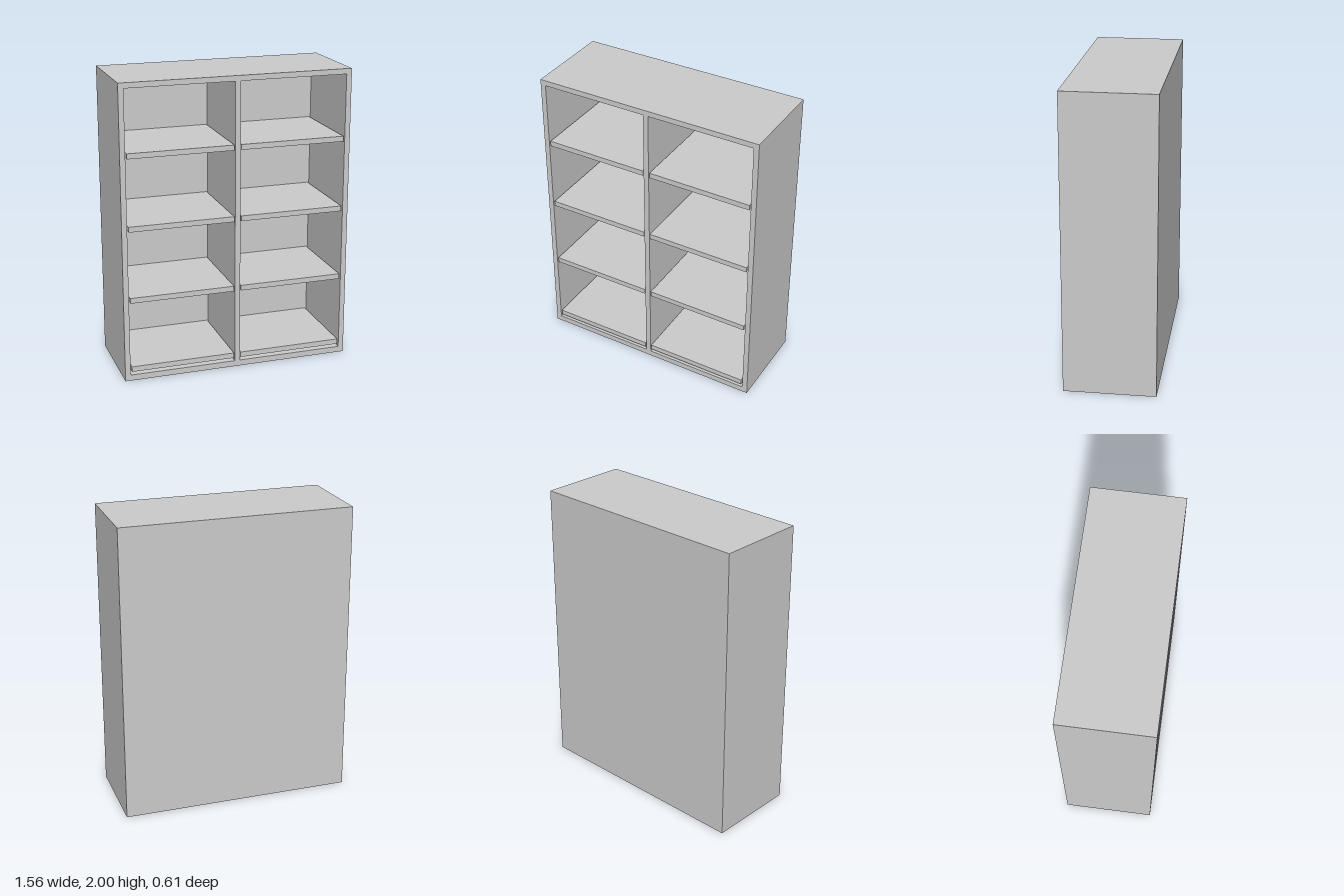
import * as THREE from 'three';

const material = new THREE.MeshStandardMaterial({ color: 0xcccccc });

// Outer size, board thickness and back panel thickness
const W = 1.56, H = 2, D = 0.61, T = 0.036, BACK = 0.006;

function rect(Type, x0, y0, x1, y1) {
  return new Type().moveTo(x0, y0).lineTo(x1, y0).lineTo(x1, y1).lineTo(x0, y1).closePath();
}

function addMesh(parent, name, geometry, x, y, z) {
  const mesh = new THREE.Mesh(geometry, material);
  mesh.name = name;
  mesh.position.set(x, y, z);
  parent.add(mesh);
}

export function createModel() {
  const bookcase = new THREE.Group();
  bookcase.name = 'bookcase';

  // Outer frame and central divider, cut from one block with two openings
  const outline = rect(THREE.Shape, -W / 2, 0, W / 2, H);
  const inner = W / 2 - T, half = T / 2;
  for (const [x0, x1] of [[-inner, -half], [half, inner]]) {
    outline.holes.push(rect(THREE.Path, x0, 0.04, x1, H - T));
  }
  const frame = new THREE.ExtrudeGeometry(outline, { depth: D - BACK, bevelEnabled: false });
  addMesh(bookcase, 'frame', frame, 0, 0, -D / 2 + BACK);

  // Thin back panel
  addMesh(bookcase, 'backPanel', new THREE.BoxGeometry(W, H, BACK), 0, H / 2, -D / 2 + BACK / 2);

  // Four loose shelves on each side, with a small gap at their ends
  const shelf = new THREE.BoxGeometry(0.71, T, D - BACK);
  for (const side of [-1, 1]) {
    for (const y of [0.08, 0.564, 1.05, 1.532]) {
      addMesh(bookcase, side < 0 ? 'rightShelf' : 'leftShelf', shelf, side * 0.379, y, BACK / 2);
    }
  }
  return bookcase;
}
